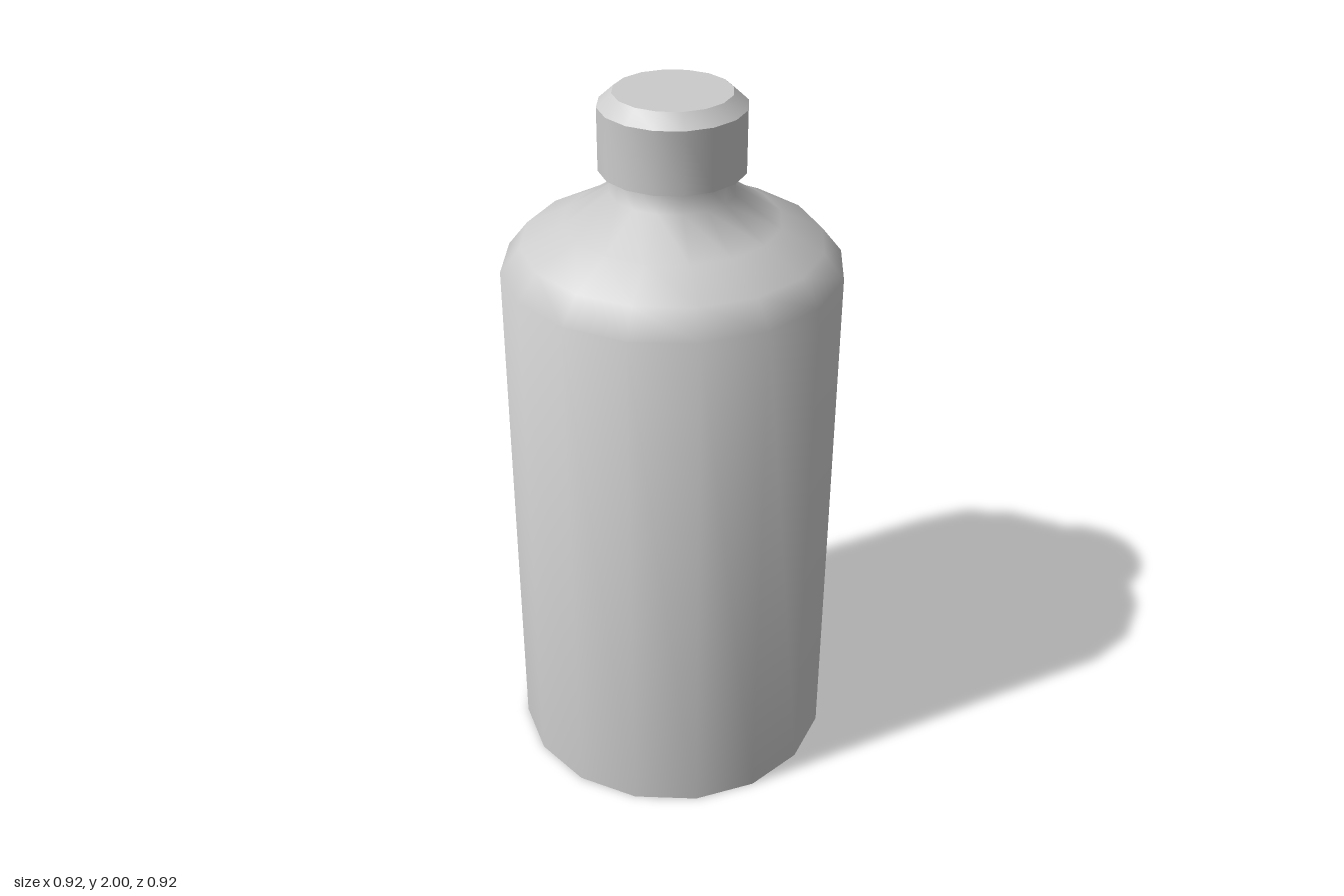
import * as THREE from 'three';
import { toCreasedNormals } from 'three/addons/utils/BufferGeometryUtils.js';

const SIDES = 16;
const material = new THREE.MeshStandardMaterial({ color: 0xcccccc });

// Turns a [radius, height] profile, listed from bottom to top, around the y axis.
function turned(name, profile, creaseDegrees) {
  const points = profile.map(([r, y]) => new THREE.Vector2(r, y));
  const lathe = new THREE.LatheGeometry(points, SIDES);
  const mesh = new THREE.Mesh(toCreasedNormals(lathe, THREE.MathUtils.degToRad(creaseDegrees)), material);
  mesh.name = name;
  return mesh;
}

export function createModel() {
  const bottle = new THREE.Group();
  bottle.name = 'bottle';

  // Flat base, straight wall, sloping shoulder and neck, smooth above the base
  bottle.add(turned('body', [
    [0, 0], [0.46, 0], [0.46, 1.526], [0.405, 1.595],
    [0.29, 1.652], [0.167, 1.733], [0.167, 1.8],
  ], 65));

  // Screw cap with a chamfered, hard-edged rim
  bottle.add(turned('cap', [
    [0, 1.796], [0.195, 1.796], [0.195, 1.965], [0.156, 2], [0, 2],
  ], 30));

  return bottle;
}
